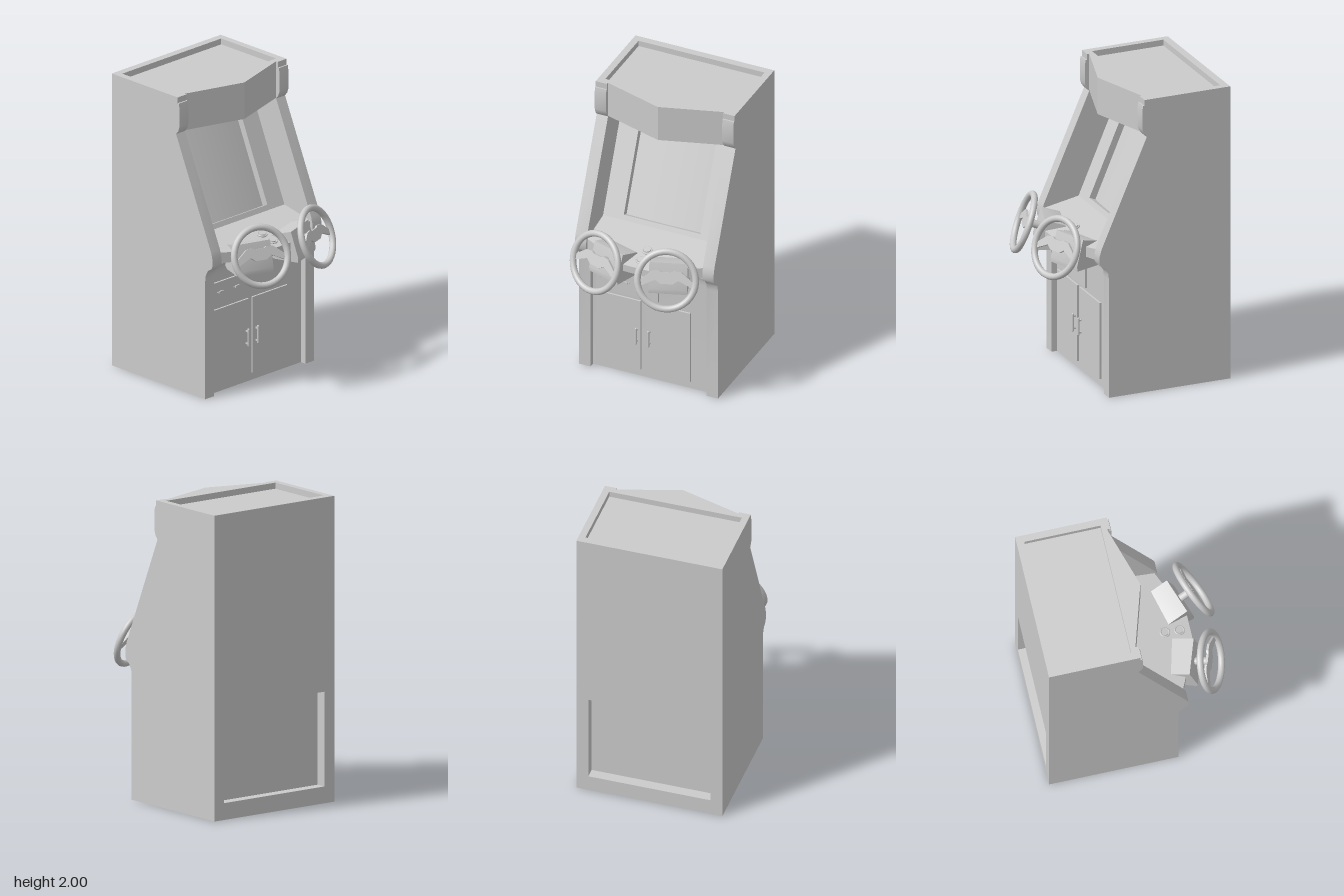
import * as THREE from 'three';
import { toCreasedNormals } from 'three/addons/utils/BufferGeometryUtils.js';

const grey = new THREE.MeshStandardMaterial({ color: 0xcccccc });
const greyDouble = new THREE.MeshStandardMaterial({ color: 0xcccccc, side: THREE.DoubleSide });

function add(parent, name, geometry, x = 0, y = 0, z = 0, material = grey) {
  const mesh = new THREE.Mesh(geometry, material);
  mesh.name = name;
  mesh.position.set(x, y, z);
  parent.add(mesh);
  return mesh;
}

const shapeOf = (points) => new THREE.Shape(points.map(([x, y]) => new THREE.Vector2(x, y)));
const holeOf = (x0, x1, y0, y1) =>
  new THREE.Path([[x0, y0], [x0, y1], [x1, y1], [x1, y0]].map(([x, y]) => new THREE.Vector2(x, y)));

// Side profile (x, y) extruded along z, centred on z = 0
function profile(shape, width) {
  const g = new THREE.ExtrudeGeometry(shape, { depth: width, bevelEnabled: false, curveSegments: 10 });
  return toCreasedNormals(g.translate(0, 0, -width / 2), 0.5);
}

// Floor plan (x, z) extruded upwards from y0 to y1
function plan(shape, y0, y1) {
  const g = new THREE.ExtrudeGeometry(shape, { depth: y1 - y0, bevelEnabled: false });
  return g.rotateX(-Math.PI / 2).translate(0, y0, 0);
}

function addCabinet(group) {
  // Side panels with a rounded waist and a rounded header
  const side = shapeOf([
    [-0.615, 0], [0.235, 0], [0.235, 0.81], [0.24, 0.85], [0.26, 0.885], [0.29, 0.905], [0.3, 0.925],
    [0.3, 0.975], [0.288, 1.02], [-0.03, 1.745], [-0.01, 1.77], [0, 1.8], [0, 1.93], [-0.005, 1.96], [-0.615, 1.96],
  ]);
  for (const s of [1, -1]) add(group, s > 0 ? 'leftSidePanel' : 'rightSidePanel', profile(side, 0.08), 0, 0, s * 0.45);

  // Inner body with a coved waist under the control deck
  const core = shapeOf([[-0.545, 0], [0.195, 0], [0.195, 0.8]]);
  core.quadraticCurveTo(0.2, 0.91, 0.29, 0.92);
  for (const [x, y] of [[0.02, 0.92], [-0.32, 1.72], [-0.32, 1.96], [-0.545, 1.96]]) core.lineTo(x, y);
  add(group, 'body', profile(core, 0.82));

  // Back wall around the service recess
  add(group, 'backPanel', new THREE.BoxGeometry(0.07, 1.23, 0.82), -0.58, 1.345, 0);
  add(group, 'backSill', new THREE.BoxGeometry(0.07, 0.11, 0.82), -0.58, 0.055, 0);

  // Pointed header and the raised rim around the roof recess
  add(group, 'header', plan(shapeOf([[-0.33, -0.41], [-0.03, -0.41], [0.095, 0], [-0.03, 0.41], [-0.33, 0.41]]), 1.75, 1.96));
  const rim = shapeOf([
    [-0.615, -0.49], [-0.015, -0.49], [-0.015, -0.41], [-0.03, -0.41], [0.095, 0],
    [-0.03, 0.41], [-0.015, 0.41], [-0.015, 0.49], [-0.615, 0.49],
  ]);
  rim.holes.push(holeOf(-0.565, -0.065, -0.445, 0.445));
  add(group, 'roofRim', plan(rim, 1.96, 2));
}

function addMonitor(group) {
  const monitor = new THREE.Group();
  monitor.name = 'monitor';
  const up = new THREE.Vector3(-0.305, 0.71, 0).normalize();
  const across = new THREE.Vector3(0, 0, -1);
  monitor.quaternion.setFromRotationMatrix(
    new THREE.Matrix4().makeBasis(across, up, new THREE.Vector3().crossVectors(across, up)));
  monitor.position.set(0.045, 1.04, 0);
  group.add(monitor);

  const frame = shapeOf([[-0.41, -0.08], [0.41, -0.08], [0.41, 0.775], [-0.41, 0.775]]);
  frame.holes.push(holeOf(-0.27, 0.27, 0.035, 0.686));
  add(monitor, 'bezel', new THREE.ExtrudeGeometry(frame, { depth: 0.05, bevelEnabled: false }), 0, 0, -0.05);

  // Gently bulging screen
  const screen = new THREE.PlaneGeometry(0.54, 0.65, 16, 1);
  const p = screen.attributes.position;
  for (let i = 0; i < p.count; i++) p.setZ(i, 0.014 * (1 - (p.getX(i) / 0.27) ** 2));
  screen.computeVertexNormals();
  add(monitor, 'screen', screen, 0, 0.36, -0.045, greyDouble);
}

function addDeck(group) {
  // Control deck, its top sloping down to the front
  const deck = plan(shapeOf([
    [-0.02, -0.41], [0.28, -0.41], [0.422, -0.1], [0.422, 0.1], [0.28, 0.41], [-0.02, 0.41],
  ]), 0.92, 1.04);
  const p = deck.attributes.position;
  for (let i = 0; i < p.count; i++) if (p.getY(i) > 1) p.setY(i, 1.04 - 0.19 * (p.getX(i) - 0.045));
  deck.computeVertexNormals();
  add(group, 'controlDeck', deck);

  // Push buttons
  for (const x of [0.255, 0.35]) {
    const button = new THREE.Group();
    button.name = 'button';
    button.position.set(x, 1.04 - 0.19 * (x - 0.045), 0);
    button.rotation.z = -0.19;
    add(button, 'buttonRing', new THREE.TorusGeometry(0.029, 0.006, 8, 24).rotateX(Math.PI / 2), 0, 0.004, 0);
    add(button, 'buttonCap', new THREE.CylinderGeometry(0.023, 0.025, 0.02, 24), 0, 0.004, 0);
    group.add(button);
  }
}

function addSteering(group, s) {
  const steering = new THREE.Group();
  steering.name = s > 0 ? 'leftSteering' : 'rightSteering';
  steering.position.set(0.27, 0, s * 0.1725);
  steering.rotation.y = -s * 0.328;
  group.add(steering);

  // Wedge housing
  const housing = shapeOf([[-0.04, 0.86], [0, 0.837], [0.17, 0.837], [0.172, 0.87], [0.12, 1.04], [0, 1.005], [-0.04, 0.98]]);
  add(steering, 'wheelHousing', profile(housing, 0.248));

  // Wheel: local z is the steering axis
  const wheel = new THREE.Group();
  wheel.name = 'steeringWheel';
  wheel.position.set(0.243, 0.987, 0);
  wheel.rotation.set(0, Math.PI / 2, 0);
  wheel.rotateX(-0.36);
  steering.add(wheel);
  add(wheel, 'wheelRim', new THREE.TorusGeometry(0.188, 0.022, 12, 40));
  const half = [[0.04, -0.025], [0.075, 0.0], [0.175, -0.05], [0.182, -0.015], [0.095, 0.055], [0.05, 0.06], [0.03, 0.05]];
  const spokes = shapeOf([...half, ...half.map(([x, y]) => [-x, y]).reverse()]);
  add(wheel, 'spokes', new THREE.ExtrudeGeometry(spokes, { depth: 0.016, bevelEnabled: false }), 0, 0, -0.015);
  add(wheel, 'column', new THREE.CylinderGeometry(0.025, 0.025, 0.14, 16).rotateX(Math.PI / 2), 0, 0.01, -0.08);
}

function addFrontPanels(group) {
  const front = 0.195;
  // Cupboard doors with bar handles
  for (const [z, handleZ] of [[0.2275, 0.093], [-0.1225, 0.006]]) {
    add(group, 'door', new THREE.BoxGeometry(0.024, 0.52, 0.315), front, 0.31, z);
    add(group, 'doorHandle', new THREE.CapsuleGeometry(0.008, 0.11, 4, 10), front + 0.032, 0.312, handleZ);
    for (const y of [0.27, 0.354]) {
      add(group, 'handlePost', new THREE.BoxGeometry(0.026, 0.01, 0.01), front + 0.02, y, handleZ);
    }
  }
  // Coin plate with two slots
  add(group, 'coinPlate', new THREE.BoxGeometry(0.024, 0.16, 0.44), front, 0.675, 0.165);
  for (const z of [0.325, 0.178]) {
    add(group, 'coinSlot', new THREE.BoxGeometry(0.012, 0.014, 0.036), front + 0.015, 0.685, z);
    for (const d of [-0.025, 0.025]) {
      add(group, 'slotStud', new THREE.SphereGeometry(0.005, 8, 6), front + 0.012, 0.685, z + d);
    }
  }
}

export function createModel() {
  const group = new THREE.Group();
  group.name = 'drivingArcadeCabinet';
  addCabinet(group);
  addMonitor(group);
  addDeck(group);
  for (const s of [1, -1]) addSteering(group, s);
  addFrontPanels(group);
  return group;
}
